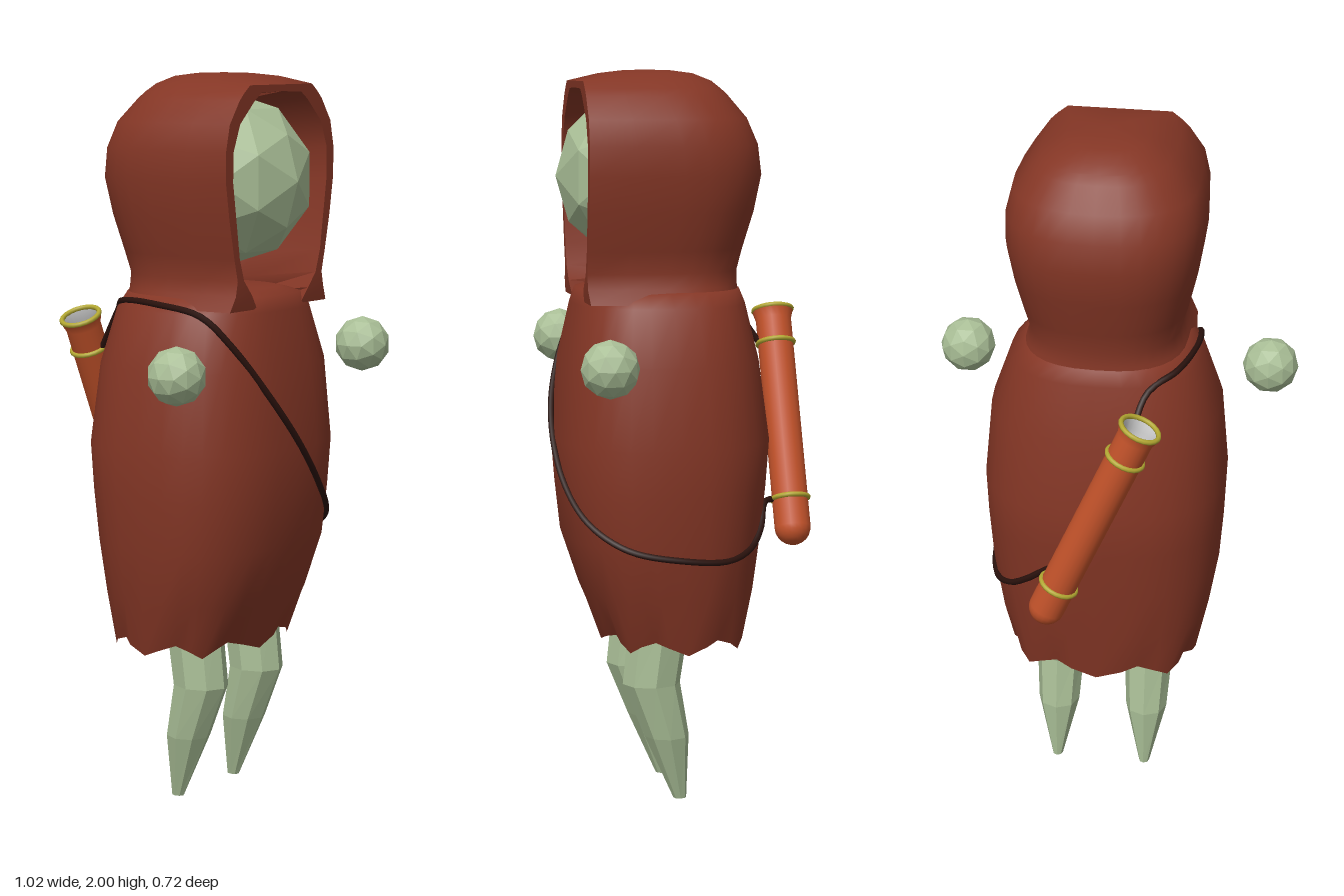
import * as THREE from 'three';
import { toCreasedNormals } from 'three/addons/utils/BufferGeometryUtils.js';

const mat = (color, opts = {}) => new THREE.MeshStandardMaterial({ color, ...opts });
const pow = (v, e) => Math.sign(v) * Math.abs(v) ** e;
const N = 2.5; // roundness of the cloth cross-sections

// Skin closed rings of [x, y, z] points, ordered from +z towards +x, bottom to top.
function loft(rings) {
  const n = rings[0].length, index = [];
  for (let r = 0; r < rings.length - 1; r++) {
    for (let i = 0; i < n; i++) {
      const a = r * n + i, b = r * n + (i + 1) % n;
      index.push(a, b, b + n, a, b + n, a + n);
    }
  }
  const geo = new THREE.BufferGeometry();
  geo.setAttribute('position', new THREE.Float32BufferAttribute(rings.flat(2), 3));
  geo.setIndex(index);
  geo.computeVertexNormals();
  return geo;
}

// Robe sections: y, half width, front z, back z
const robeRows = [
  [0.45, 0.262, 0.225, -0.168], [0.58, 0.295, 0.28, -0.19], [0.73, 0.32, 0.33, -0.21],
  [0.87, 0.33, 0.345, -0.225], [1.0, 0.335, 0.355, -0.235], [1.22, 0.315, 0.335, -0.205],
  [1.37, 0.262, 0.302, -0.17], [1.41, 0.22, 0.29, -0.155], [1.425, 0.15, 0.24, -0.1],
];

// Point on the robe at a height and an angle (0 = front, 90 degrees = +x)
function robePoint(y, angle, offset = 0) {
  let i = 0;
  while (i < robeRows.length - 2 && y > robeRows[i + 1][0]) i++;
  const lo = robeRows[i], hi = robeRows[i + 1], t = (y - lo[0]) / (hi[0] - lo[0]);
  const [w, f, b] = [1, 2, 3].map((k) => lo[k] + (hi[k] - lo[k]) * t);
  return [(w + offset) * pow(Math.sin(angle), 2 / N), y,
    (f + b) / 2 + ((f - b) / 2 + offset) * pow(Math.cos(angle), 2 / N)];
}

function robeGeometry() {
  const seg = 32;
  const rings = robeRows.map(([y], r) => Array.from({ length: seg }, (_, i) => {
    const p = robePoint(y, i / seg * Math.PI * 2, r === 0 && i % 4 === 2 ? -0.012 : 0);
    if (r === 0) p[1] += i % 4 === 0 ? -0.022 : i % 4 === 2 ? 0.012 : 0; // ragged hem
    return p;
  }));
  rings.push(Array.from({ length: seg }, () => [0, 1.43, 0.07]));
  return loft(rings);
}

// Hood sections: y, half width, half width of the opening, front z, back z
const hoodRows = [
  [1.38, 0.235, 0.1, 0.285, -0.155], [1.42, 0.215, 0.13, 0.29, -0.15],
  [1.46, 0.206, 0.165, 0.29, -0.15], [1.52, 0.222, 0.185, 0.29, -0.165],
  [1.62, 0.245, 0.2, 0.29, -0.195], [1.72, 0.262, 0.215, 0.29, -0.215],
  [1.8, 0.262, 0.213, 0.29, -0.205], [1.87, 0.245, 0.185, 0.29, -0.175],
  [1.93, 0.2, 0.12, 0.29, -0.125], [1.95, 0.178, 0.09, 0.29, -0.105],
  [1.952, 0.175, 0, 0.29, -0.102], [1.97, 0.15, 0, 0.29, -0.08],
  [1.99, 0.11, 0, 0.21, -0.03], [1.998, 0.06, 0, 0.15, 0.03],
];

// C-shaped sections: outer wall round the back, then the inner wall returning
function hoodGeometry() {
  const steps = 16;
  const rings = hoodRows.map(([y, w, open, front, back]) => {
    const zc = Math.min(0.08, (front + back) / 2), mid = (zc + front) / 2;
    const arc = (half, rear, h) => Array.from({ length: steps + 1 }, (_, j) => {
      const a = Math.PI * (0.5 + j / steps);
      return [half * pow(Math.sin(a), 2 / N), h, zc + (zc - rear) * pow(Math.cos(a), 2 / N)];
    });
    return [
      [open, y, front], [w * 0.94, y, front], [w * 0.985, y, mid],
      ...arc(w, back, y),
      [-w * 0.985, y, mid], [-w * 0.94, y, front], [-open, y, front],
      ...arc(Math.max(w - 0.035, 0.01), Math.min(back + 0.035, zc), y - 0.025).reverse(),
    ];
  });
  rings.push(rings[0].map(() => [0, 2, 0.1]));
  return toCreasedNormals(loft(rings), 0.9);
}

// Leg sections: y, centre z, half width, half depth
function legGeometry() {
  const rows = [[0, 0.03, 0.015, 0.018], [0.18, 0.067, 0.06, 0.062],
    [0.33, 0.11, 0.07, 0.08], [0.52, 0.085, 0.07, 0.085]];
  const ring = ([y, z, w, d], scale = 1) => Array.from({ length: 8 }, (_, i) => {
    const a = i / 8 * Math.PI * 2;
    return [w * scale * Math.sin(a), y, z + d * scale * Math.cos(a)];
  });
  return loft([ring(rows[0], 0), ...rows.map((r) => ring(r)), ring(rows[3], 0)]);
}

export function createModel() {
  const group = new THREE.Group();
  const cloth = mat(0x843625, { side: THREE.DoubleSide });
  const skin = mat(0xa9be96, { flatShading: true });
  const add = (name, geo, material, parent = group) => {
    const mesh = new THREE.Mesh(geo, material);
    mesh.name = name;
    parent.add(mesh);
    return mesh;
  };

  add('robe', robeGeometry(), cloth);
  add('hood', hoodGeometry(), cloth);
  add('head', new THREE.IcosahedronGeometry(0.235, 1), skin).position.set(0, 1.715, 0.11);

  // Floating hands and the legs
  for (const [side, s, legX] of [['left', 1, 0.145], ['right', -1, -0.115]]) {
    add(side + 'Hand', new THREE.IcosahedronGeometry(0.078, 1), skin).position.set(s * 0.43, 1.235, 0.27);
    add(side + 'Leg', legGeometry(), skin).position.x = legX;
  }

  // Strap: [height, angle in degrees] along the robe, ending at the case
  const path = [[0.82, 165], [0.76, 150], [0.715, 135], [0.692, 115], [0.702, 90], [0.73, 65],
    [0.79, 38], [0.88, 16], [1.01, 0], [1.14, -14], [1.29, -39], [1.365, -60],
    [1.39, -90], [1.39, -125], [1.355, -155]]
    .map(([y, deg]) => new THREE.Vector3(...robePoint(y, deg * Math.PI / 180, 0.004)));
  path.unshift(new THREE.Vector3(0.08, 0.82, -0.25));
  path.push(new THREE.Vector3(-0.1, 1.235, -0.25));
  add('strap', new THREE.TubeGeometry(new THREE.CatmullRomCurve3(path, false, 'centripetal'), 90, 0.009, 6),
    mat(0x2a120d));

  // Slanted case on the back, built upright along y
  const carrier = new THREE.Group();
  carrier.name = 'case';
  const bottom = new THREE.Vector3(0.115, 0.745, -0.295);
  const axis = new THREE.Vector3(-0.137, 1.325, -0.295).sub(bottom);
  const length = axis.length();
  carrier.position.copy(bottom);
  carrier.quaternion.setFromUnitVectors(new THREE.Vector3(0, 1, 0), axis.normalize());
  group.add(carrier);

  const profile = Array.from({ length: 7 }, (_, i) => {
    const a = i / 6 * Math.PI / 2;
    return new THREE.Vector2(0.05 * Math.sin(a), -0.05 * Math.cos(a));
  });
  profile.push(new THREE.Vector2(0.05, length - 0.03), new THREE.Vector2(0.059, length));
  add('caseShell', new THREE.LatheGeometry(profile, 20), mat(0xc2522a), carrier);
  const inside = [[0, 0.03], [0.043, 0.03], [0.043, length - 0.03], [0.05, length]];
  add('caseInside', new THREE.LatheGeometry(inside.map((p) => new THREE.Vector2(...p)), 20),
    mat(0xcccccc, { side: THREE.DoubleSide }), carrier);
  for (const [name, y, radius] of [['caseRim', length, 0.054], ['upperBand', length * 0.845, 0.051],
    ['lowerBand', length * 0.13, 0.051]]) {
    const band = add(name, new THREE.TorusGeometry(radius, 0.007, 8, 20), mat(0xb3a832), carrier);
    band.rotation.x = Math.PI / 2;
    band.position.y = y;
  }
  return group;
}
